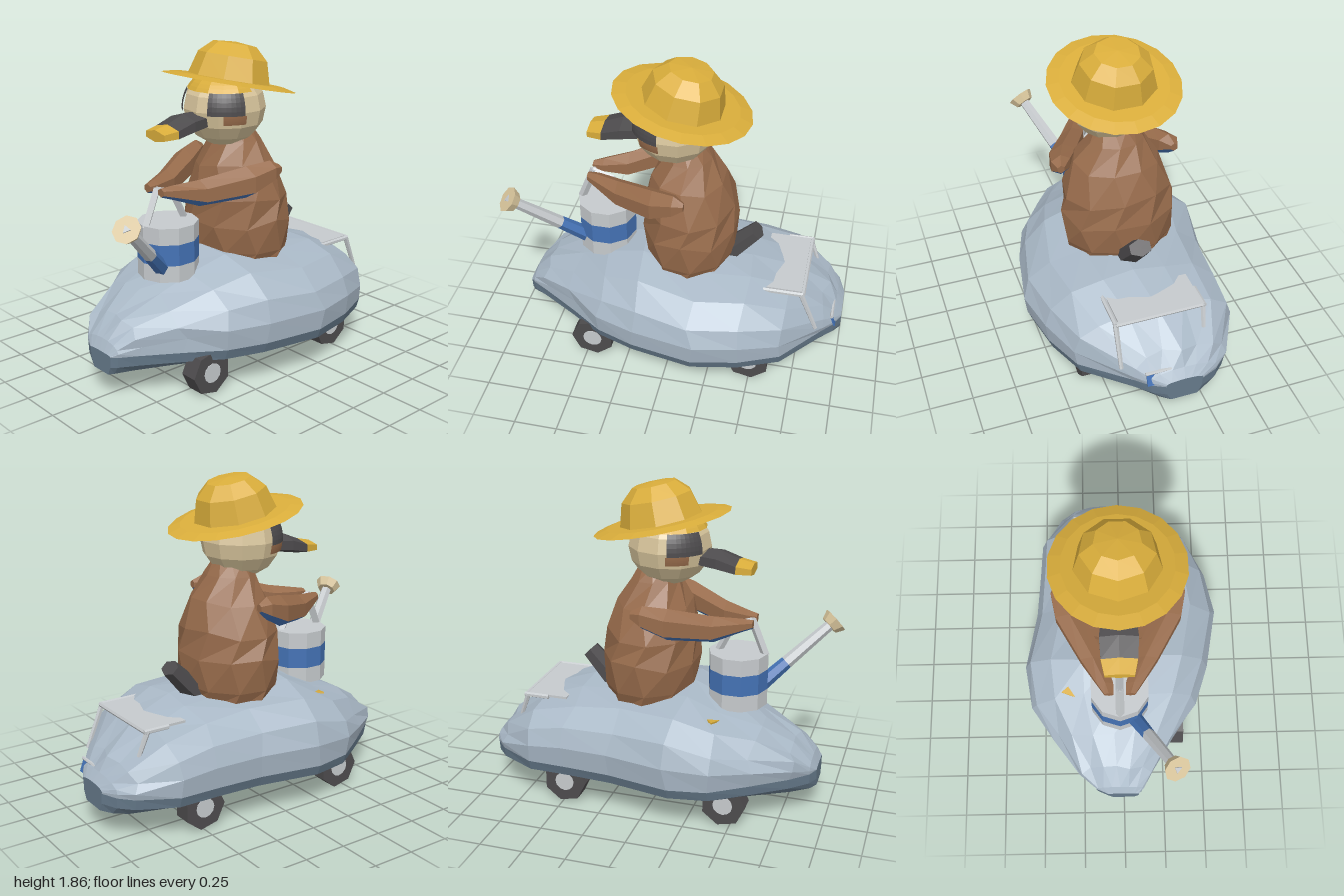
import * as THREE from 'three';

const mat = (name, color, side = THREE.FrontSide) => {
  const m = new THREE.MeshStandardMaterial({ color, flatShading: true, side });
  m.name = name;
  return m;
};
const V = (x, y, z) => new THREE.Vector3(x, y, z);

// Skins rings of points; column j takes material index pick(j)
function loft(rings, pick = () => 0, cap = 0) {
  const pos = [], groups = [], n = rings[0].length;
  const tri = (...p) => p.forEach((q) => pos.push(q.x, q.y, q.z));
  const mark = (index, build) => {
    const start = pos.length / 3;
    build();
    groups.push([start, pos.length / 3 - start, index]);
  };
  for (let j = 0; j < n; j++) mark(pick(j), () => {
    const k = (j + 1) % n;
    for (let i = 0; i < rings.length - 1; i++) {
      const a = rings[i], b = rings[i + 1];
      tri(a[j], a[k], b[k]);
      tri(a[j], b[k], b[j]);
    }
  });
  mark(cap, () => {
    const a = rings[0], b = rings[rings.length - 1];
    for (let j = 1; j < n - 1; j++) {
      tri(a[0], a[j + 1], a[j]);
      tri(b[0], b[j], b[j + 1]);
    }
  });
  const g = new THREE.BufferGeometry();
  g.setAttribute('position', new THREE.Float32BufferAttribute(pos, 3));
  groups.forEach((r) => g.addGroup(...r));
  g.computeVertexNormals();
  return g;
}

// Six-sided section facing +z
const hexRing = ([z, x, y, hw, hh]) => Array.from({ length: 6 }, (_, i) => {
  const a = Math.PI / 6 + i * Math.PI / 3;
  return V(x + Math.cos(a) * hw / 0.866, y + Math.sin(a) * hh, z);
});

export function createModel() {
  const stone = mat('stone', 0xa9b8c6), underside = mat('underside', 0x667a8b);
  const brown = mat('brown', 0x976b4b), cream = mat('cream', 0xd8c59c);
  const yellow = mat('yellow', 0xd9ad3b, THREE.DoubleSide), dark = mat('charcoal', 0x4d4b4d);
  const blue = mat('blue', 0x4472b5), pale = mat('paleMetal', 0xc6cacd);
  const root = new THREE.Group();
  const add = (name, geo, m, x = 0, y = 0, z = 0, parent = root) => {
    const mesh = new THREE.Mesh(geo, m);
    mesh.name = name;
    mesh.position.set(x, y, z);
    parent.add(mesh);
    return mesh;
  };
  // Straight bar between two points
  const bar = (name, a, b, r0, r1, m, sides = 6) => {
    const d = b.clone().sub(a);
    const mesh = add(name, new THREE.CylinderGeometry(r1, r0, d.length(), sides), m);
    mesh.position.copy(a).addScaledVector(d, 0.5);
    mesh.quaternion.setFromUnitVectors(V(0, 1, 0), d.normalize());
    return mesh;
  };
  let seed = 7;
  const jitter = (s) => {
    seed = (seed * 16807) % 2147483647;
    return (seed / 2147483647 - 0.5) * s;
  };

  // Boulder: z, left edge, right edge, top height
  const sections = [
    [-1, -0.2, 0.02, 0.29], [-0.96, -0.3, 0.1, 0.34], [-0.89, -0.38, 0.18, 0.42], [-0.68, -0.5, 0.44, 0.58],
    [-0.45, -0.51, 0.54, 0.65], [-0.18, -0.53, 0.595, 0.67], [0.18, -0.6, 0.53, 0.7], [0.4, -0.56, 0.45, 0.62],
    [0.6, -0.42, 0.31, 0.53], [0.8, -0.27, 0.18, 0.43], [0.9, -0.17, 0.12, 0.33], [0.93, -0.1, 0.09, 0.27],
  ];
  const half = [[0.97, 0], [1, 0.3], [0.93, 0.58], [0.7, 0.83], [0.35, 0.96]];
  const arch = [...half, [0, 1], ...half.slice().reverse().map(([u, g]) => [-u, g])];
  const keel = [[-0.93, 0.2], [-0.7, 0.152], [0.7, 0.152], [0.93, 0.2]];
  const boulder = sections.map(([z, l, r, top], i) => {
    const c = (l + r) / 2, h = (r - l) / 2, wob = i > 1 && i < 10 ? 0.025 : 0;
    return [
      ...arch.map(([u, g]) => V(c + u * h, 0.26 + (top - 0.26) * g + (g > 0.2 && g < 1 ? jitter(wob) : 0),
        z + (g > 0.2 ? jitter(wob * 2) : 0))),
      ...keel.map(([u, y]) => V(c + u * h, y, z)),
    ];
  });
  add('boulder', loft(boulder, (j) => (j < 10 ? 0 : 1), 1), [stone, underside]);

  // Wheels with hubs on both faces
  for (const x of [-0.365, 0.325]) for (const z of [0.46, -0.49]) {
    const wheel = new THREE.Group();
    wheel.name = 'wheel';
    wheel.position.set(x, 0.123, z);
    wheel.rotation.z = Math.PI / 2;
    root.add(wheel);
    add('tyre', new THREE.CylinderGeometry(0.128, 0.128, 0.105, 7), dark, 0, 0, 0, wheel);
    add('hub', new THREE.CylinderGeometry(0.057, 0.057, 0.112, 12), pale, 0, 0, 0, wheel);
  }

  // Body: y, centre x, centre z, radius x, radius z
  const body = [
    [0.55, -0.02, -0.07, 0.29, 0.23], [0.68, -0.02, -0.075, 0.325, 0.265], [0.85, -0.02, -0.07, 0.34, 0.28],
    [1.0, -0.015, -0.065, 0.32, 0.265], [1.16, -0.015, -0.055, 0.25, 0.215], [1.3, -0.015, -0.05, 0.16, 0.14],
    [1.38, -0.015, -0.04, 0.11, 0.1],
  ].map(([y, x, z, rx, rz], k) => Array.from({ length: 10 }, (_, i) => {
    const a = (i + (k % 2) * 0.3) / 10 * Math.PI * 2;
    return V(x + Math.cos(a) * rx, y + (k > 1 && k < 5 ? jitter(0.05) : 0), z - Math.sin(a) * rz);
  }));
  add('body', loft(body), brown);

  // Arms with blue undersides
  for (const s of [-1, 1]) {
    const rings = [
      [-0.09, 0.335, 1.17, 0.02, 0.025], [-0.03, 0.32, 1.16, 0.055, 0.065], [0.1, 0.27, 1.115, 0.08, 0.09],
      [0.33, 0.145, 1.07, 0.07, 0.075], [0.47, 0.08, 1.085, 0.045, 0.04], [0.53, 0.06, 1.09, 0.025, 0.025],
    ].map(([z, x, ...rest]) => hexRing([z, -0.02 + s * x, ...rest]));
    add(s > 0 ? 'leftArm' : 'rightArm', loft(rings, (j) => (j === 3 || j === 4 ? 1 : 0)), [brown, blue]);
  }

  // Tail
  const tail = bar('tail', V(-0.02, 0.62, -0.28), V(-0.02, 0.81, -0.46), 0.07, 0.05, dark, 6);
  tail.scale.x = 1.4;

  // Head with curved face patches
  const head = new THREE.Group();
  head.name = 'head';
  head.position.set(-0.012, 1.49, 0.03);
  root.add(head);
  add('skull', new THREE.SphereGeometry(0.235, 11, 8), cream, 0, 0, 0, head).scale.set(1, 0.93, 1);
  const patch = (name, m, az0, az1, el0, el1) => {
    const d = Math.PI / 180;
    const g = new THREE.SphereGeometry(0.239, 8, 5, (90 + az0) * d, (az1 - az0) * d, (90 - el1) * d, (el1 - el0) * d);
    add(name, g, m, 0, 0, 0, head).scale.y = 0.94;
  };
  patch('leftEyePatch', dark, 26, 78, -3, 29);
  patch('rightEyePatch', dark, -78, -26, -3, 29);
  patch('leftCheek', brown, 48, 80, -16, -3);
  patch('rightCheek', brown, -80, -48, -16, -3);
  patch('hatFront', yellow, -95, 95, 29, 60);

  // Bill
  const mid = [0.43, -0.02, 1.4, 0.098, 0.043];
  add('bill', loft([[0.2, -0.02, 1.44, 0.09, 0.05], [0.32, -0.02, 1.43, 0.105, 0.055], mid].map(hexRing)), dark);
  add('billTip', loft([mid, [0.515, -0.02, 1.392, 0.08, 0.033]].map(hexRing)), yellow);

  // Straw hat, tipped back
  const hat = new THREE.Group();
  hat.name = 'hat';
  hat.position.set(-0.02, 1.625, -0.015);
  hat.rotation.x = -0.22;
  root.add(hat);
  const P = (x, y) => new THREE.Vector2(x, y);
  add('crown', new THREE.LatheGeometry([P(0.24, 0), P(0.2, 0.14), P(0.125, 0.21), P(0, 0.222)], 9), yellow, 0, 0, 0, hat);
  add('brim', new THREE.CylinderGeometry(0.3, 0.37, 0.018, 18), yellow, 0, 0.003, 0, hat).scale.z = 1.07;

  // Watering can in stacked bands
  const can = [['canBase', 0.595, 0.69, pale], ['canBand', 0.69, 0.81, blue], ['canTop', 0.81, 0.905, pale]];
  for (const [name, y0, y1, m] of can)
    add(name, new THREE.CylinderGeometry(0.172, 0.172, y1 - y0, 10), m, -0.02, (y0 + y1) / 2, 0.44);
  bar('canHandleFront', V(-0.02, 0.89, 0.595), V(-0.02, 1.1, 0.51), 0.024, 0.024, pale, 4);
  bar('canHandleTop', V(-0.02, 1.09, 0.52), V(-0.02, 1.05, 0.4), 0.022, 0.022, pale, 4);
  bar('canHandleBack', V(-0.02, 1.05, 0.4), V(-0.02, 0.89, 0.32), 0.022, 0.022, pale, 4);
  const foot = V(0.06, 0.67, 0.55), tip = V(0.28, 1.03, 0.93);
  const at = (t) => foot.clone().lerp(tip, t);
  bar('spoutBase', at(0), at(0.36), 0.045, 0.038, blue);
  bar('spout', at(0.36), at(0.97), 0.038, 0.03, pale);
  bar('spoutRose', at(0.93), at(1.02), 0.055, 0.078, cream, 8);
  bar('roseCentre', at(1.02), at(1.03), 0.025, 0.025, pale, 3);

  // Rear rack
  add('rackPlate', new THREE.BoxGeometry(0.49, 0.014, 0.25), pale, -0.03, 0.588, -0.645);
  bar('rackCrossbar', V(-0.28, 0.585, -0.77), V(0.23, 0.585, -0.77), 0.014, 0.014, pale);
  bar('rackLeftRail', V(0.23, 0.585, -0.5), V(0.23, 0.585, -0.77), 0.014, 0.014, pale);
  bar('rackRightRail', V(-0.28, 0.585, -0.63), V(-0.28, 0.585, -0.78), 0.014, 0.014, pale);
  bar('rackLeftLeg', V(0.23, 0.585, -0.76), V(0.23, 0.34, -0.86), 0.016, 0.012, pale);
  bar('rackRightLeg', V(-0.28, 0.585, -0.76), V(-0.27, 0.45, -0.81), 0.016, 0.012, pale);

  // Rear plate and its bar
  add('rearPlate', new THREE.BoxGeometry(0.13, 0.07, 0.009), blue, 0.05, 0.3, -0.955).rotation.x = 0.35;
  bar('rearPlateBar', V(-0.03, 0.34, -0.945), V(0.12, 0.34, -0.945), 0.01, 0.01, pale);

  // Small yellow toe on the boulder
  const toe = add('toe', new THREE.CylinderGeometry(0.07, 0.07, 0.009, 3), yellow, -0.3, 0.585, 0.36);
  toe.rotation.set(0.1, 2.8, 0.15);

  return root;
}
